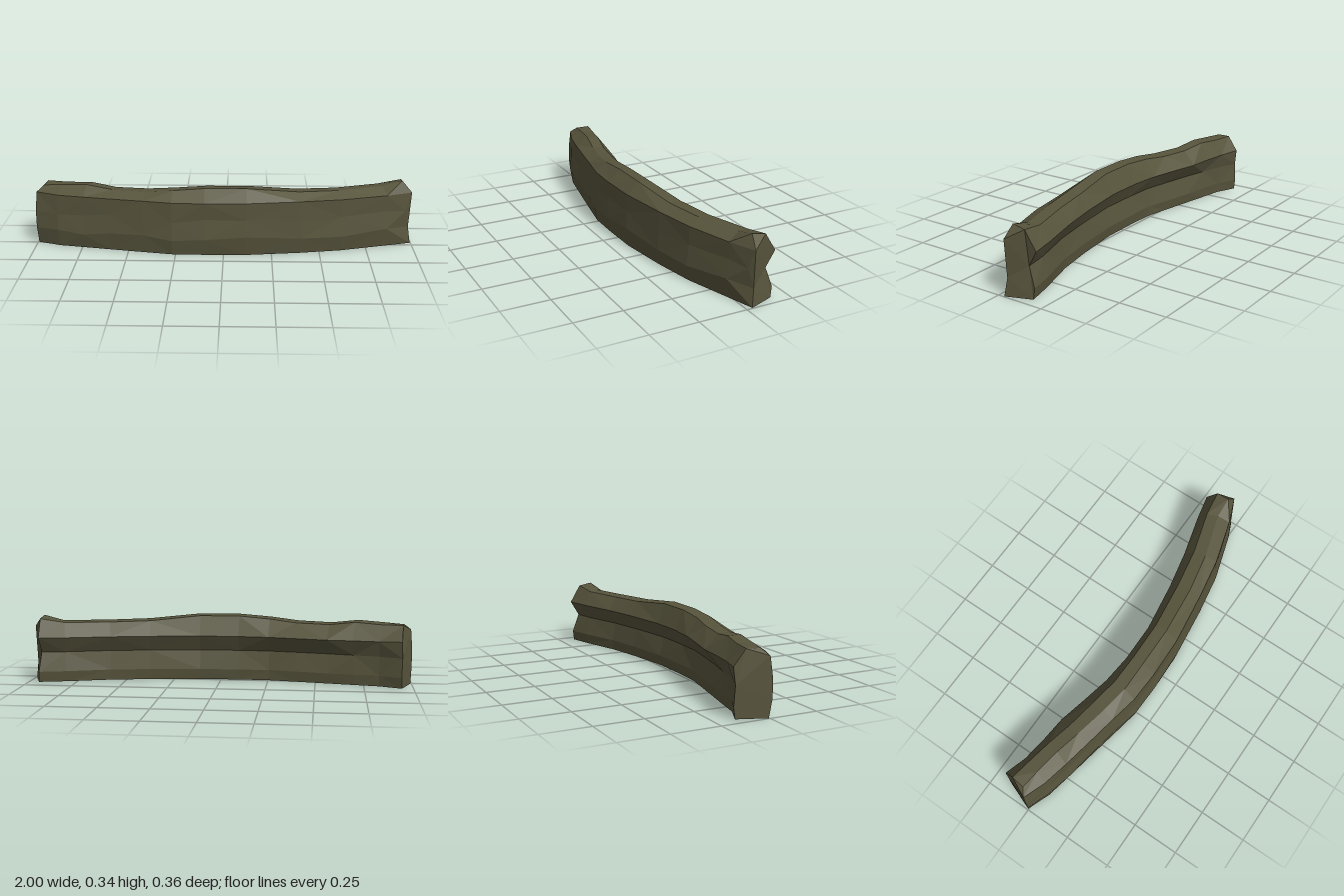
import * as THREE from 'three';

// Cross-section as [depth behind the front face, height], front foot over the crest to back foot
const middle = [[0.018, 0], [0, 0.09], [0.01, 0.185], [0.012, 0.282], [0.075, 0.343],
  [0.14, 0.338], [0.185, 0.235], [0.148, 0.155], [0.168, 0.055], [0.165, 0]];
// End sections carry a third value: shift along the length
const leftEnd = [[0.015, 0, 0], [0, 0.09, 0], [0, 0.185, 0], [0.012, 0.285, 0.005], [0.05, 0.315, 0.03],
  [0.12, 0.318, 0.015], [0.178, 0.24, 0], [0.168, 0.155, 0], [0.175, 0.055, 0], [0.168, 0, 0]];
const rightEnd = [[0.012, 0, 0], [0.027, 0.09, -0.008], [0.015, 0.185, -0.036], [0.02, 0.282, 0], [0.05, 0.343, -0.045],
  [0.115, 0.33, -0.017], [0.172, 0.235, 0], [0.13, 0.155, -0.02], [0.16, 0.055, 0], [0.152, 0, 0]];

// Stations along the curve: x, z of front face, crest height, notch strength, extra brow depth, section
const stations = [
  [-1, 0.01, 0.315, 0, 0, leftEnd],
  [-0.88, 0.06, 0.322, 0.45, 0.006, middle],
  [-0.74, 0.087, 0.33, 0.65, 0.012, middle],
  [-0.6, 0.115, 0.312, 0.8, 0.026, middle],
  [-0.42, 0.15, 0.315, 1, 0.02, middle],
  [-0.27, 0.178, 0.33, 1, 0.017, middle],
  [-0.1, 0.182, 0.343, 1, 0.005, middle],
  [0.12, 0.179, 0.343, 1, 0.004, middle],
  [0.4, 0.143, 0.317, 1, 0.008, middle],
  [0.62, 0.102, 0.312, 1, 0.012, middle],
  [0.86, 0.029, 0.315, 1, 0.004, middle],
  [1, -0.02, 0.343, 1, 0, rightEnd],
];

function sectionPoints([x, z, crest, notch, brow, section], s) {
  const a = 0.36 * x;
  return section.map(([d, y, shift = 0], i) => {
    if (section === middle) {
      if (i === 4 || i === 5) y += crest - 0.343;
      if (i === 6) d += brow;
      if (i === 7) d += (1 - notch) * 0.03;
      // gentle unevenness of the hewn faces
      if (i > 0 && i < 9 && i !== 6) d += 0.005 * Math.abs(Math.sin(s * 2.3 + i * 1.7));
      if (i === 1 || i === 2) y += 0.012 * Math.sin(s * 1.9 + i);
    }
    return new THREE.Vector3(
      x - d * Math.sin(a) + shift * Math.cos(a), y,
      z - d * Math.cos(a) - shift * Math.sin(a));
  });
}

function buildGeometry() {
  const rings = stations.map(sectionPoints);
  const n = middle.length;
  const pos = rings.flat().flatMap((p) => [p.x, p.y, p.z]);
  const index = [];
  // Long faces from foot to foot; the shell is open underneath
  for (let s = 0; s < rings.length - 1; s++) {
    for (let i = 0; i < n - 1; i++) {
      const a = s * n + i, b = a + 1, c = a + n, d = b + n;
      if ((s + i) % 2) index.push(a, c, d, a, d, b);
      else index.push(a, c, b, c, d, b);
    }
  }
  // End caps
  for (const [start, section, flip] of [[0, leftEnd, false], [(rings.length - 1) * n, rightEnd, true]]) {
    const outline = section.map(([d, y]) => new THREE.Vector2(d, y));
    for (const [a, b, c] of THREE.ShapeUtils.triangulateShape(outline, [])) {
      // orient each triangle outward from its projected winding
      const area = (outline[b].x - outline[a].x) * (outline[c].y - outline[a].y)
        - (outline[c].x - outline[a].x) * (outline[b].y - outline[a].y);
      if ((area > 0) === flip) index.push(start + a, start + b, start + c);
      else index.push(start + a, start + c, start + b);
    }
  }
  const geo = new THREE.BufferGeometry();
  geo.setAttribute('position', new THREE.Float32BufferAttribute(pos, 3));
  geo.setIndex(index);
  const flat = geo.toNonIndexed();
  flat.computeVertexNormals();
  return flat;
}

export function createModel() {
  const group = new THREE.Group();
  group.name = 'curvedBank';
  const earth = new THREE.MeshStandardMaterial({ color: 0x57543c, flatShading: true, side: THREE.DoubleSide });
  earth.name = 'olive earth';
  const bank = new THREE.Mesh(buildGeometry(), earth);
  bank.name = 'bank';
  group.add(bank);
  return group;
}
